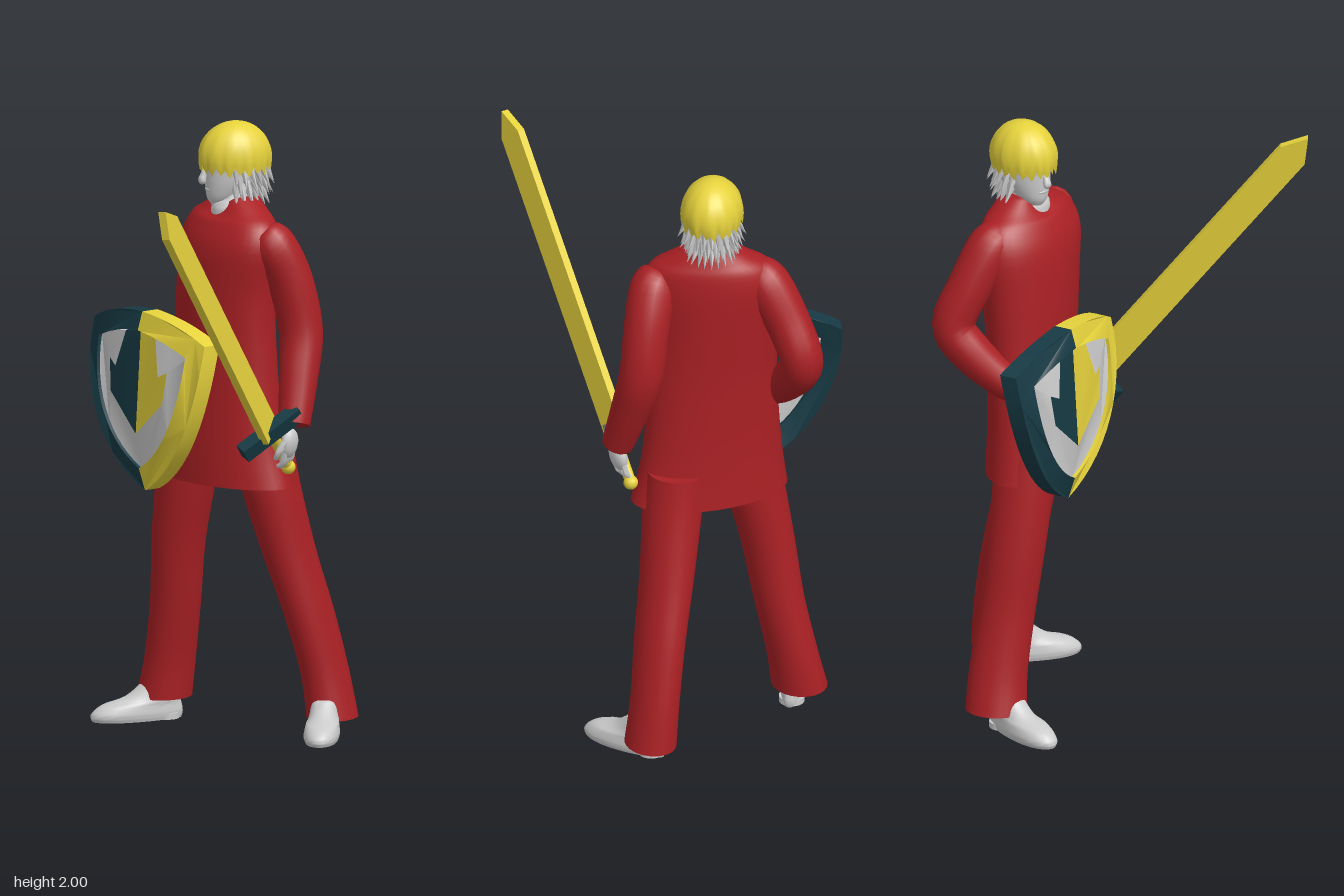
import * as THREE from 'three';
import { toCreasedNormals } from 'three/addons/utils/BufferGeometryUtils.js';

const mat = (color) => new THREE.MeshStandardMaterial({ color, side: THREE.DoubleSide });
const grey = mat(0xcccccc), red = mat(0xaa2024), yellow = mat(0xe6d23c), teal = mat(0x173a44);
const V = (x, y, z) => new THREE.Vector3(x, y, z);

function add(parent, name, geometry, material, pos = [0, 0, 0], rot = [0, 0, 0], scale = [1, 1, 1]) {
  const m = new THREE.Mesh(geometry, material);
  m.name = name;
  m.position.set(...pos);
  m.rotation.set(...rot);
  m.scale.set(...scale);
  parent.add(m);
  return m;
}

// Catmull-Rom interpolation of every number in a list of cross-sections
function smooth(secs, steps = 4) {
  const out = [], at = (i) => secs[Math.min(Math.max(i, 0), secs.length - 1)];
  for (let i = 0; i < secs.length - 1; i++) for (let k = 0; k < steps; k++) {
    const t = k / steps;
    out.push(secs[i].map((b, c) => {
      const a = at(i - 1)[c], d = at(i + 1)[c], e = at(i + 2)[c];
      return b + 0.5 * t * (d - a + t * (2 * a - 5 * b + 4 * d - e + t * (3 * (b - d) + e - a)));
    }));
  }
  out.push(secs[secs.length - 1]);
  return out;
}

// Closed surface through rings of points
function skin(rings) {
  const n = rings[0].length, pts = rings.flat(), index = [];
  for (let i = 0; i < rings.length - 1; i++) for (let j = 0; j < n; j++) {
    const a = i * n + j, b = i * n + (j + 1) % n;
    index.push(a, b, b + n, a, b + n, a + n);
  }
  [0, rings.length - 1].forEach((r, end) => {
    const c = pts.length;
    pts.push(rings[r].reduce((s, p) => s.add(p), V(0, 0, 0)).divideScalar(n));
    for (let j = 0; j < n; j++) {
      const a = r * n + j, b = r * n + (j + 1) % n;
      index.push(...(end ? [c, a, b] : [c, b, a]));
    }
  });
  const g = new THREE.BufferGeometry().setFromPoints(pts);
  g.setIndex(index);
  return toCreasedNormals(g, 0.9);
}

// Level rings, bottom to top: [x, y, z, halfWidth, halfDepth, turn]
function loft(secs, warp = () => {}, n = 28) {
  return skin(smooth(secs).map(([x, y, z, rx, rz, turn = 0]) =>
    Array.from({ length: n }, (_, j) => {
      const t = (j / n) * Math.PI * 2, p = V(rx * Math.sin(t), y, rz * Math.cos(t));
      warp(p, t);
      return p.applyAxisAngle(V(0, 1, 0), turn).add(V(x, 0, z));
    })));
}

// Round rings square to a path: [x, y, z, radius]
function limb(secs, n = 16) {
  const s = smooth(secs, 5);
  return skin(s.map((c, i) => {
    const a = s[Math.max(i - 1, 0)], b = s[Math.min(i + 1, s.length - 1)];
    const T = V(b[0] - a[0], b[1] - a[1], b[2] - a[2]).normalize();
    const B = V(1, 0, 0).addScaledVector(T, -T.x).normalize(), N = B.clone().cross(T);
    return Array.from({ length: n }, (_, j) => {
      const t = (j / n) * Math.PI * 2;
      return V(c[0], c[1], c[2]).addScaledVector(B, c[3] * Math.sin(t)).addScaledVector(N, c[3] * Math.cos(t));
    });
  }));
}

// Hand pointing along -y, with the palm flat in the y-z plane
function hand(parent, name, pos, rot, side) {
  const g = new THREE.Group();
  g.name = name;
  g.position.set(...pos);
  g.rotation.set(...rot);
  add(g, 'palm', new THREE.SphereGeometry(1, 14, 10), grey, [0, 0, 0], [0, 0, 0], [0.024, 0.05, 0.042]);
  for (let i = 0; i < 4; i++) {
    const z = -0.027 + i * 0.018, l = i % 3 ? 0 : 0.008;
    add(g, 'finger', limb([[0, -0.02, z, 0.011], [-0.004 * side, -0.06, z, 0.01], [-0.02 * side, -0.085 + l, z, 0.007]], 8), grey);
  }
  add(g, 'thumb', limb([[0, 0.015, 0.03, 0.013], [-0.01 * side, -0.02, 0.048, 0.011], [-0.02 * side, -0.045, 0.045, 0.008]], 8), grey);
  parent.add(g);
}

function buildHead() {
  const head = new THREE.Group();
  head.name = 'head';
  head.position.set(0.06, 0, -0.285);
  head.rotation.y = -0.72;
  add(head, 'face', loft([[0, 1.732, 0.06, 0.022, 0.022], [0, 1.755, 0.04, 0.046, 0.055], [0, 1.8, 0.015, 0.066, 0.085],
    [0, 1.85, 0, 0.075, 0.102], [0, 1.9, 0, 0.08, 0.106], [0, 1.95, 0, 0.06, 0.08], [0, 1.98, 0, 0.025, 0.03]]), grey);
  add(head, 'nose', limb([[0, 1.855, 0.098, 0.007], [0, 1.83, 0.108, 0.011], [0, 1.812, 0.112, 0.014], [0, 1.805, 0.104, 0.008]], 8), grey);
  add(head, 'lips', new THREE.SphereGeometry(1, 10, 8), grey, [0, 1.782, 0.091], [0, 0, 0], [0.022, 0.007, 0.01]);
  for (const s of [-1, 1]) {
    add(head, 'brow', new THREE.SphereGeometry(1, 10, 8), grey, [0.033 * s, 1.862, 0.088], [0, 0.4 * s, 0], [0.026, 0.008, 0.012]);
    add(head, 'ear', new THREE.SphereGeometry(1, 10, 8), grey, [0.076 * s, 1.835, -0.01], [0, 0, 0], [0.01, 0.028, 0.018]);
  }
  // Hair cap with a ragged lower edge
  const cap = new THREE.SphereGeometry(1, 44, 12, 0, Math.PI * 2, 0, Math.PI * 0.6);
  const p = cap.attributes.position;
  for (let i = 0; i < p.count; i++) {
    const col = i % 45 % 44, v = Math.floor(i / 45) / 12;
    const jag = [0.012, -0.012, 0.004, -0.02][col % 4] * v ** 4, lump = 1 + 0.025 * Math.sin(col * 1.714) * v;
    p.setXYZ(i, p.getX(i) * 0.1 * lump, 1.885 + p.getY(i) * 0.115 + jag, p.getZ(i) * 0.12 * lump);
  }
  cap.computeVertexNormals();
  add(head, 'hairCap', cap, yellow);
  // Shaggy locks round the sides and nape
  for (let row = 0; row < 3; row++) for (let i = 0; i < 15; i++) {
    const a = Math.PI + (i + (row % 2) * 0.5 - 7.2) * 0.25;
    const out = V(Math.sin(a), 0, Math.cos(a));
    const lock = add(head, 'lock', new THREE.ConeGeometry(0.02, 0.1, 5), grey,
      [out.x * (0.085 - row * 0.006), 1.84 - row * 0.033, out.z * (0.108 - row * 0.008)]);
    lock.quaternion.setFromUnitVectors(V(0, 1, 0), out.multiplyScalar(0.38 + 0.12 * (i % 3)).setY(-1).normalize());
  }
  return head;
}

function buildShield() {
  const shield = new THREE.Group();
  shield.name = 'shield';
  shield.position.set(-0.2, 1.1, -0.06);
  shield.rotation.y = -0.42;
  // Extrude and bend backwards towards the rim
  const plate = (name, shape, depth, front, material) => {
    const g = new THREE.ExtrudeGeometry(shape, { depth, bevelEnabled: false, curveSegments: 14 });
    const p = g.attributes.position;
    for (let i = 0; i < p.count; i++) {
      const x = p.getX(i), y = p.getY(i);
      p.setZ(i, p.getZ(i) - depth + front - 0.55 * x * x - 0.6 * y * y);
    }
    add(shield, name, toCreasedNormals(g, 0.5), material);
  };
  for (const s of [-1, 1]) {
    const color = s < 0 ? teal : yellow;
    const rim = new THREE.Shape();
    rim.moveTo(0, 0.28);
    rim.quadraticCurveTo(0.17 * s, 0.275, 0.3 * s, 0.21);
    rim.bezierCurveTo(0.31 * s, -0.02, 0.2 * s, -0.22, 0, -0.31);
    rim.lineTo(0, -0.235);
    rim.bezierCurveTo(0.16 * s, -0.16, 0.235 * s, 0, 0.235 * s, 0.165);
    rim.quadraticCurveTo(0.13 * s, 0.21, 0, 0.22);
    plate('shieldRim', rim, 0.06, 0, color);
    const inner = [[0.08, 0.206], [0.115, 0.085], [0.155, 0.105], [0.14, 0], [0, -0.12]];
    const band = new THREE.Shape();
    inner.forEach(([x, y], i) => (i ? band.lineTo(x * s, y) : band.moveTo(x * s, y)));
    band.lineTo(0, -0.235);
    band.bezierCurveTo(0.16 * s, -0.16, 0.235 * s, 0, 0.235 * s, 0.165);
    band.quadraticCurveTo(0.165 * s, 0.195, 0.08 * s, 0.206);
    plate('shieldBand', band, 0.036, -0.012, grey);
    const panel = new THREE.Shape([[0, 0.22], ...inner].map(([x, y]) => new THREE.Vector2(x * s, y)));
    plate('shieldPanel', panel, 0.036, -0.012, color);
  }
  return shield;
}

function buildSword() {
  const sword = new THREE.Group();
  sword.name = 'sword';
  sword.position.set(0.305, 1.035, -0.085);
  sword.rotation.x = 0.684;
  const outline = new THREE.Shape([[-0.05, 0], [0.05, 0], [0.05, 1.02], [0, 1.1], [-0.05, 1.02]].map((q) => new THREE.Vector2(...q)));
  const blade = new THREE.ExtrudeGeometry(outline, { depth: 0.026, bevelEnabled: false });
  blade.translate(0, 0, -0.013);
  add(sword, 'blade', blade, yellow, [-0.005, 0, 0], [0, Math.PI / 2 + 0.15, 0]);
  add(sword, 'guard', new THREE.BoxGeometry(0.045, 0.05, 0.23), teal, [0, 0, 0], [0, -0.54, 0]);
  add(sword, 'grip', new THREE.CylinderGeometry(0.018, 0.018, 0.16, 12), yellow, [0.005, -0.09, 0]);
  add(sword, 'pommel', new THREE.SphereGeometry(0.024, 12, 8), yellow, [0.005, -0.17, 0]);
  return sword;
}

export function createModel() {
  const model = new THREE.Group();
  model.name = 'swordsman';

  // Tunic twisting from hem to shoulders, with a dipped collar
  add(model, 'tunic', loft([[0.05, 0.83, -0.25, 0.262, 0.14, -0.22], [0.04, 1.0, -0.25, 0.23, 0.135, -0.25],
    [0.04, 1.25, -0.255, 0.21, 0.128, -0.35], [0.04, 1.45, -0.26, 0.21, 0.13, -0.45], [0.05, 1.6, -0.265, 0.225, 0.125, -0.5],
    [0.06, 1.68, -0.275, 0.2, 0.105, -0.5], [0.065, 1.72, -0.28, 0.14, 0.085, -0.5], [0.065, 1.76, -0.285, 0.072, 0.066, -0.5]],
  (p, t) => { if (p.y > 1.69) p.y -= 0.6 * Math.max(0, Math.cos(t)) ** 6 * (p.y - 1.69); }, 40), red);
  add(model, 'neck', loft([[0.055, 1.68, -0.265, 0.066, 0.066], [0.055, 1.73, -0.265, 0.06, 0.064], [0.06, 1.76, -0.275, 0.05, 0.054], [0.06, 1.82, -0.28, 0.05, 0.055]]), grey);
  model.add(buildHead());

  // Sleeves and hands
  add(model, 'leftSleeve', limb([[0.21, 1.655, -0.205, 0.055], [0.24, 1.62, -0.215, 0.075], [0.285, 1.5, -0.25, 0.075], [0.315, 1.34, -0.265, 0.072],
    [0.33, 1.2, -0.225, 0.064], [0.345, 1.05, -0.17, 0.052]]), red);
  add(model, 'rightSleeve', limb([[-0.06, 1.66, -0.345, 0.055], [-0.09, 1.62, -0.375, 0.075], [-0.13, 1.5, -0.435, 0.073], [-0.155, 1.37, -0.488, 0.07],
    [-0.165, 1.28, -0.43, 0.068], [-0.165, 1.19, -0.33, 0.058], [-0.16, 1.16, -0.27, 0.054]]), red);
  hand(model, 'leftHand', [0.335, 0.99, -0.155], [0.1, 0, -0.15], 1);
  hand(model, 'rightHand', [-0.158, 1.135, -0.235], [-1.1, 0.2, 0], -1);

  // Trousers
  add(model, 'leftTrouser', loft([[0.358, 0.05, -0.395, 0.08, 0.095], [0.335, 0.2, -0.385, 0.074, 0.093], [0.295, 0.4, -0.35, 0.076, 0.1],
    [0.245, 0.6, -0.31, 0.084, 0.1], [0.2, 0.82, -0.27, 0.095, 0.103], [0.18, 0.95, -0.26, 0.095, 0.1]]), red);
  add(model, 'rightTrouser', loft([[-0.235, 0.07, -0.34, 0.088, 0.1], [-0.21, 0.2, -0.335, 0.08, 0.095], [-0.175, 0.4, -0.31, 0.08, 0.092],
    [-0.15, 0.6, -0.285, 0.086, 0.095], [-0.11, 0.82, -0.265, 0.098, 0.1], [-0.09, 0.95, -0.26, 0.1, 0.1]]), red);

  // Shoes: the outline shrinks back towards the ankle, the toe is broad
  for (const [name, x, z, turn] of [['leftShoe', 0.385, -0.285, 0.42], ['rightShoe', -0.285, -0.25, -0.75]]) {
    const shoe = add(model, name, loft([[0, 0, 0, 0.05, 0.15], [0, 0.02, 0, 0.056, 0.155], [0, 0.05, -0.015, 0.052, 0.135],
      [0, 0.075, -0.05, 0.046, 0.09], [0, 0.12, -0.075, 0.042, 0.055]],
    (p, t) => { p.x *= 1 + 0.25 * Math.cos(t) * (p.y < 0.06 ? 1 : 0.3); }), grey, [x, 0, z], [0, turn, 0]);
    add(shoe, 'heel', new THREE.CylinderGeometry(0.042, 0.042, 0.02, 16), grey, [0, 0.01, -0.1]);
  }

  model.add(buildShield(), buildSword());
  return model;
}
